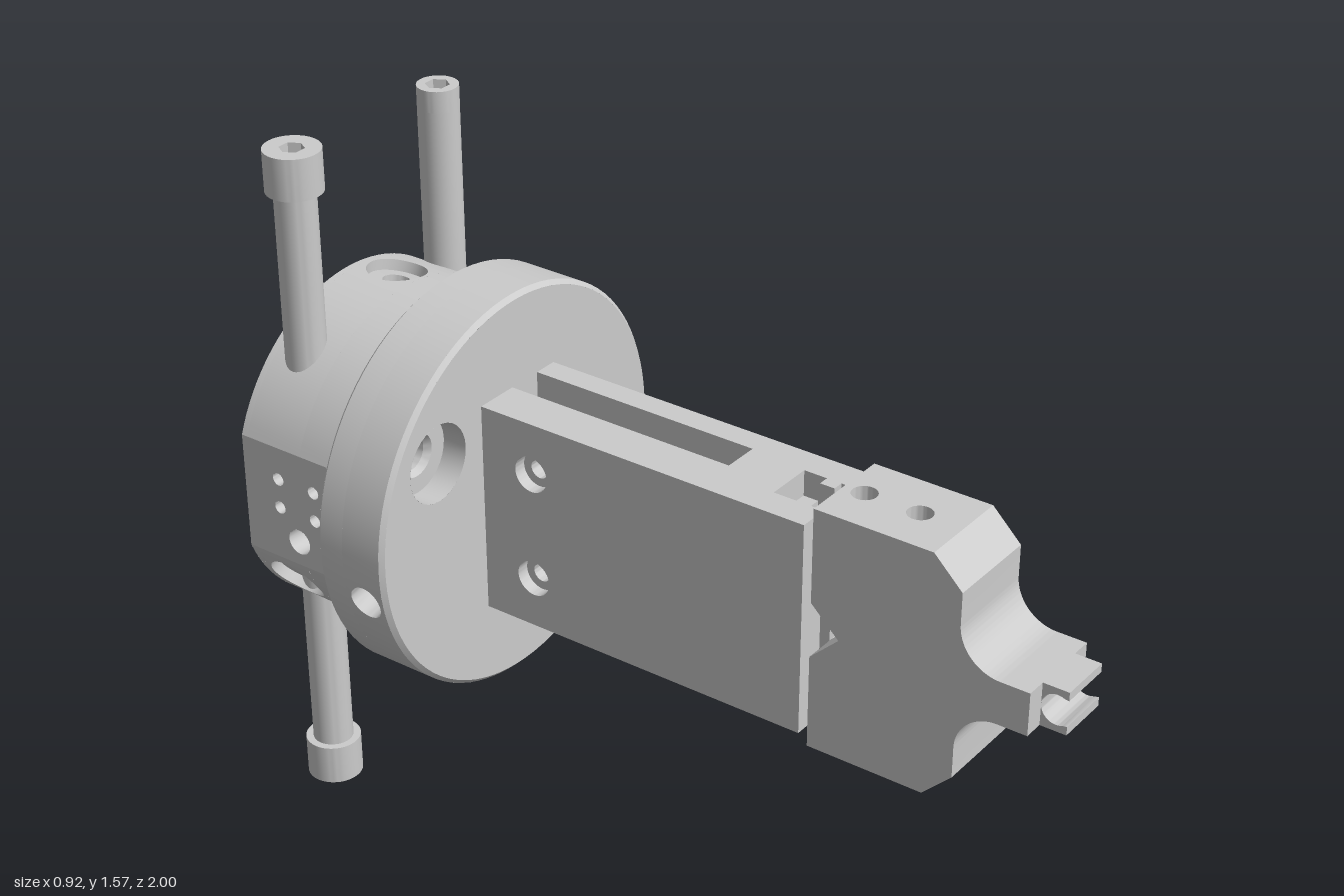
import * as THREE from 'three';
import { toCreasedNormals } from 'three/addons/utils/BufferGeometryUtils.js';

const material = new THREE.MeshStandardMaterial({ color: 0xcccccc, side: THREE.DoubleSide });
const AXIS_Y = 0.785;
const RAD = Math.PI / 180;

function add(parent, name, geometry) {
  const mesh = new THREE.Mesh(toCreasedNormals(geometry, 0.5), material);
  mesh.name = name;
  parent.add(mesh);
  return mesh;
}

function polygon(points, holes = []) {
  const shape = new THREE.Shape(points.map(([x, y]) => new THREE.Vector2(x, y)));
  return punch(shape, holes);
}

// holes: [x, y, radius]
function punch(shape, holes) {
  for (const [x, y, r] of holes) shape.holes.push(new THREE.Path().absarc(x, y, r, 0, Math.PI * 2, true));
  return shape;
}

const rect = (x0, y0, x1, y1, holes) => polygon([[x0, y0], [x1, y0], [x1, y1], [x0, y1]], holes);
const extrude = (shape, depth) => new THREE.ExtrudeGeometry(shape, { depth, bevelEnabled: false, curveSegments: 24 });

// Side outline (z, y) extruded across x
const acrossX = (shape, x0, x1) => extrude(shape, x1 - x0).rotateY(-Math.PI / 2).translate(x1, 0, 0);
// Plan outline (x, z) extruded up y
const alongY = (shape, y0, y1) => extrude(shape, y1 - y0).rotateX(Math.PI / 2).translate(0, y1, 0);

// Stepped recess from [radius, depth] pairs, sunk along dir * z
function recess(parent, name, profile, x, y, z, dir) {
  const g = new THREE.LatheGeometry(profile.map(([r, d]) => new THREE.Vector2(r, -d)), 32);
  add(parent, name, g.rotateX(-dir * Math.PI / 2).translate(x, y, z));
}

// Cylindrical skin around the z axis; angles run from +y towards +x
function skin(parent, name, rFront, rBack, zFront, zBack, a0 = 0, a1 = 360) {
  const segments = Math.max(2, Math.ceil((a1 - a0) / 4));
  const g = new THREE.CylinderGeometry(rBack, rFront, zFront - zBack, segments, 1, true, a0 * RAD, (a1 - a0) * RAD);
  add(parent, name, g.rotateX(-Math.PI / 2).translate(0, 0, (zFront + zBack) / 2));
}

// Square patch of the skin with a stepped radial hole, lofted through loops
function holePatch(parent, name, R, angle, zc, half, steps) {
  const N = 32, pos = [], idx = [];
  [[half, 0], ...steps].forEach(([r, depth], k) => {
    for (let j = 0; j < N; j++) {
      const a = (j / N) * Math.PI * 2, c = Math.cos(a), s = Math.sin(a);
      const m = k === 0 ? r / Math.max(Math.abs(c), Math.abs(s)) : r;
      const t = angle * RAD + (m * c) / R;
      pos.push((R - depth) * Math.sin(t), (R - depth) * Math.cos(t), zc + m * s);
      if (k > 0) {
        const o = (k - 1) * N, i = k * N, n = (j + 1) % N;
        idx.push(o + j, i + j, o + n, i + j, i + n, o + n);
      }
    }
  });
  const g = new THREE.BufferGeometry();
  g.setAttribute('position', new THREE.Float32BufferAttribute(pos, 3));
  g.setIndex(idx);
  add(parent, name, g);
}

// Band of skin interrupted by radial holes
function drilledBand(parent, name, R, zc, half, a0, a1, angles, steps) {
  const w = half / R / RAD;
  let from = a0;
  for (const a of angles) {
    skin(parent, name, R, R, zc + half, zc - half, from, a - w);
    holePatch(parent, name + 'Hole', R, a, zc, half, steps);
    from = a + w;
  }
  skin(parent, name, R, R, zc + half, zc - half, from, a1);
}

function buildFlange(body) {
  const g = new THREE.Group();
  g.name = 'flange';
  body.add(g);
  const R = 0.462;
  const bores = [[-0.27, 0.178, 0.09], [0.27, -0.18, 0.09]];
  const face = punch(new THREE.Shape().absarc(0, 0, R - 0.01, 0, Math.PI * 2), bores);
  add(g, 'flangeFace', new THREE.ShapeGeometry(face, 48).translate(0, 0, -0.4));
  for (const [x, y] of bores) {
    recess(g, 'counterbore', [[0.09, 0], [0.09, 0.06], [0.05, 0.06], [0.04, 0.075], [0.04, 0.12], [0, 0.15]], x, y, -0.4, -1);
  }
  skin(g, 'frontChamfer', R - 0.01, R, -0.4, -0.41);
  drilledBand(g, 'flangeRim', R, -0.46, 0.05, 0, 360, [78, 258], [[0.04, 0], [0.04, 0.05], [0, 0.075]]);
  skin(g, 'flangeRim', R, R, -0.51, -0.57);
  skin(g, 'backChamfer', R, R - 0.01, -0.57, -0.58);
  add(g, 'flangeBack', new THREE.RingGeometry(0.35, R - 0.01, 96).translate(0, 0, -0.58));
}

function buildDrum(body) {
  const g = new THREE.Group();
  g.name = 'drum';
  body.add(g);
  const R = 0.395, flatX = -0.37, back = -0.868;
  const f = Math.acos(-flatX / R), a0 = -90 + f / RAD, a1 = 270 - f / RAD;
  skin(g, 'drumWall', R, R, -0.58, -0.703, a0, a1);
  drilledBand(g, 'drumWall', R, -0.778, 0.075, a0, a1, [8, 58.7, 188, 236],
    [[0.068, 0], [0.068, 0.025], [0.032, 0.025], [0.032, 0.09], [0, 0.11]]);
  skin(g, 'drumWall', R, R, -0.853, back, a0, a1);

  // Flat side with small drilled holes
  const h = R * Math.sin(f);
  const small = [[-0.67, 0.06, 0.015], [-0.77, 0.06, 0.015], [-0.67, -0.01, 0.015], [-0.77, -0.01, 0.015], [-0.72, -0.08, 0.03]];
  add(g, 'flatSide', new THREE.ShapeGeometry(rect(back, -h, -0.58, h, small), 16).rotateY(-Math.PI / 2).translate(flatX, 0, 0));
  for (const [z, y, r] of small) {
    const cup = new THREE.LatheGeometry([[r, 0], [r, 0.05], [0, 0.06]].map((p) => new THREE.Vector2(...p)), 16);
    add(g, 'flatHole', cup.rotateZ(-Math.PI / 2).translate(flatX, y, z));
  }

  // Back face, central bore and bolt holes
  const bolts = [[0.22, 0.11], [-0.18, 0.22], [-0.24, -0.09], [-0.055, -0.25], [0.15, -0.22], [0.04, 0.255]].map((p) => [...p, 0.035]);
  const face = punch(new THREE.Shape().absarc(0, 0, R, -(Math.PI - f), Math.PI - f), [...bolts, [0, 0, 0.145]]);
  add(g, 'backFace', new THREE.ShapeGeometry(face, 48).translate(0, 0, back));
  for (const [x, y, r] of bolts) recess(g, 'boltHole', [[r, 0], [r, 0.1], [0, 0.12]], x, y, back, 1);
  recess(g, 'centralBore', [[0.145, 0], [0.115, 0.03], [0.115, 0.16], [0, 0.16]], 0, 0, back, 1);

  const pin = [[0, 0], [0.022, 0], [0.03, 0.012], [0.03, 0.2], [0, 0.2]].map((p) => new THREE.Vector2(...p));
  add(g, 'locatingPin', new THREE.LatheGeometry(pin, 24).rotateX(Math.PI / 2).translate(-0.06, 0.215, -1));
}

function buildArm(body) {
  const g = new THREE.Group();
  g.name = 'arm';
  body.add(g);
  const H = 0.25, z0 = -0.41, z1 = 0.28;
  const holes = (r) => [[-0.27, 0.128, r], [-0.27, -0.13, r]];
  // Side walls, with counterbored cross holes
  for (const [a, b, r] of [[-0.125, -0.095, 0.042], [-0.095, -0.02, 0.022], [0.065, 0.09, 0.022], [0.09, 0.122, 0.042]]) {
    add(g, 'armWall', acrossX(rect(z0, -H, z1, H, holes(r)), a, b));
  }
  // Core, lower than the walls to leave a long slot above and below
  const core = polygon([[z0, -0.17], [0.165, -0.17], [0.165, -H], [z1, -H], [z1, H], [0.165, H], [0.165, 0.17], [z0, 0.17]], holes(0.022));
  add(g, 'armCore', acrossX(core, -0.02, 0.065));
  add(g, 'slotScrew', new THREE.CylinderGeometry(0.036, 0.036, 0.05, 24).translate(0.0225, -0.19, 0.1));
  // Front end with a vertical keyed slot
  const end = polygon([[-0.125, z1], [0.122, z1], [0.122, 0.42], [0.055, 0.42], [0.055, 0.39], [0.03, 0.39], [0.03, 0.355], [0.055, 0.355],
    [0.055, 0.3], [-0.055, 0.3], [-0.055, 0.355], [-0.03, 0.355], [-0.03, 0.39], [-0.055, 0.39], [-0.055, 0.42], [-0.125, 0.42]]);
  add(g, 'armEnd', alongY(end, -H, H));
}

function buildTip(body) {
  const g = new THREE.Group();
  g.name = 'tip';
  body.add(g);
  const W = 0.11, H = 0.285, V = 0.065, r = 0.028;
  // Block with two vertical holes and a V notch at the rear
  add(g, 'tipBlock', alongY(rect(-W, 0.54, W, 0.7, [[0, 0.61, r]]), -H, H));
  for (const s of [-1, 1]) {
    add(g, 'tipRear', alongY(rect(-W, 0.432, W, 0.54, [[0, 0.48, r]]), s > 0 ? V : -H, s > 0 ? H : -V));
    const notch = polygon([[0.432, -V], [0.54, -V], [0.54, V], [0.432, V], [0.5, 0]]);
    add(g, 'notchCheek', acrossX(notch, s > 0 ? r : -W, s > 0 ? W : -r));
  }
  // Chamfered nose blending into a thin neck
  const nose = new THREE.Shape();
  nose.moveTo(0.7, -H).lineTo(0.71, -H).lineTo(0.778, -0.218).lineTo(0.778, -0.145);
  nose.absarc(0.873, -0.145, 0.095, Math.PI, Math.PI / 2, true);
  nose.lineTo(0.94, -0.05).lineTo(0.94, 0.05).lineTo(0.873, 0.05);
  nose.absarc(0.873, 0.145, 0.095, -Math.PI / 2, -Math.PI, true);
  nose.lineTo(0.778, 0.218).lineTo(0.71, H).lineTo(0.7, H);
  add(g, 'nose', acrossX(nose, -W, W));
  // Forked end with a rounded groove
  const fork = new THREE.Shape();
  fork.moveTo(0.935, -0.05).lineTo(1, -0.05).lineTo(1, -0.03).lineTo(0.99, -0.0316);
  fork.absarc(0.975, 0, 0.035, -Math.PI * 0.36, Math.PI * 0.36, true);
  fork.lineTo(1, 0.03).lineTo(1, 0.05).lineTo(0.935, 0.05);
  add(g, 'fork', acrossX(fork, -0.063, 0.063));
}

// Upright rod end with a hexagonal socket
function socketEnd(parent, name, x, z, r, y0, y1) {
  const shape = new THREE.Shape().absarc(0, 0, r, 0, Math.PI * 2);
  const hex = [0, 1, 2, 3, 4, 5].map((i) => new THREE.Vector2(0.028 * Math.cos(-i * Math.PI / 3), 0.028 * Math.sin(-i * Math.PI / 3)));
  shape.holes.push(new THREE.Path(hex));
  add(parent, name, alongY(shape, y0, y1).translate(x, 0, z));
}

function buildRod(root, name, x, r, endR, bottom, top, endH) {
  const g = new THREE.Group();
  g.name = name;
  root.add(g);
  const z = -0.79, inset = Math.min(endH, 0.05);
  const length = top - bottom - 2 * inset;
  add(g, 'shaft', new THREE.CylinderGeometry(r, r, length, 32).translate(x, (top + bottom) / 2, z));
  socketEnd(g, 'lowerEnd', x, z, endR, bottom, bottom + endH);
  socketEnd(g, 'upperEnd', x, z, endR, top - endH, top);
}

export function createModel() {
  const root = new THREE.Group();
  root.name = 'toolHolder';
  const body = new THREE.Group();
  body.name = 'body';
  body.position.y = AXIS_Y;
  root.add(body);
  buildFlange(body);
  buildDrum(body);
  buildArm(body);
  buildTip(body);
  buildRod(root, 'cappedRod', -0.235, 0.046, 0.063, 0, 1.565, 0.095);
  buildRod(root, 'plainRod', 0.23, 0.047, 0.047, 0.02, 1.548, 0.05);
  return root;
}
